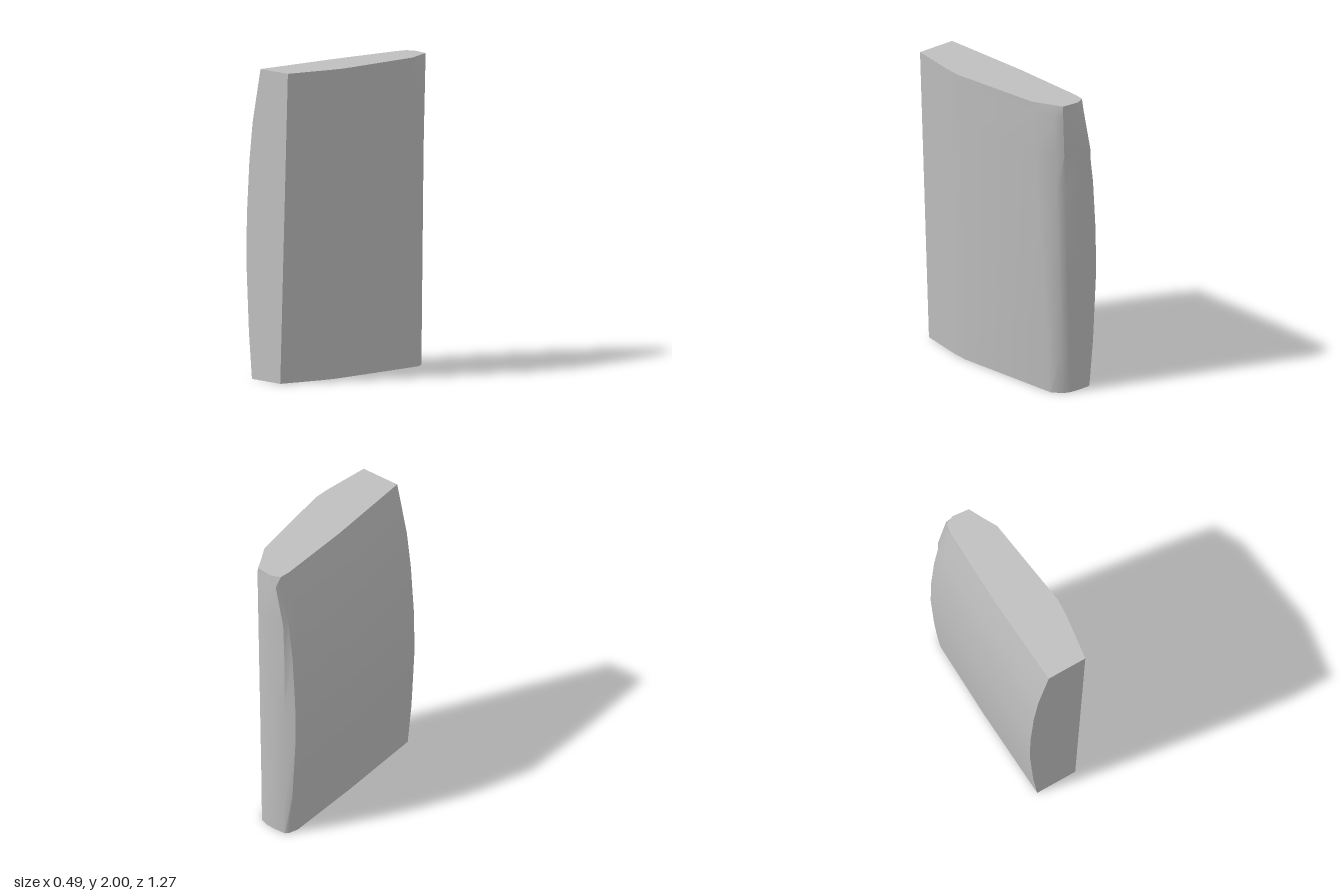
import * as THREE from 'three';
import { toCreasedNormals } from 'three/addons/utils/BufferGeometryUtils.js';

const lerp = THREE.MathUtils.lerp;

// bowed left side: [height, side x, front edge x]
const bow = [
  [0, -0.19, -0.165], [0.3, -0.22, -0.195], [0.75, -0.245, -0.22], [1.05, -0.242, -0.215],
  [1.4, -0.22, -0.19], [1.65, -0.188, -0.158], [1.93, -0.13, -0.096], [2, -0.115, -0.08],
];

// horizontal outline at one height, counterclockwise seen from above
function outline([y, side, front]) {
  const t = y / 2;
  const top = y === 2;
  const points = [
    [front, 0.635],
    [lerp(0.115, 0.19, t), 0.635],
    [lerp(0.165, 0.235, t), 0.32],
    [lerp(0.17, 0.243, t), 0.21],
    [lerp(0.1, 0.165, t), lerp(-0.53, -0.42, t)],
    top ? [0.112, -0.52] : [lerp(0.05, 0.107, t), lerp(-0.59, -0.568, t)],
    [lerp(0, 0.068, t), -0.61],
    top ? [-0.045, -0.622] : [lerp(-0.07, -0.048, t), lerp(-0.615, -0.637, t)],
    [Math.max(-0.155, side + 0.04), top ? -0.61 : lerp(-0.612, -0.63, t)],
    [side + (top ? 0.01 : 0.022), -0.595],
    [side, -0.53],
    [side + 0.004, 0],
  ];
  return points.map(([x, z]) => new THREE.Vector3(x, y, z));
}

export function createModel() {
  const group = new THREE.Group();
  const grey = new THREE.MeshStandardMaterial({ color: 0xbfbfbf });
  grey.name = 'grey';

  const rings = bow.map(outline);
  const n = rings[0].length;
  const corners = [];

  // walls between neighbouring outlines
  for (let r = 0; r < rings.length - 1; r++) {
    for (let i = 0; i < n; i++) {
      const j = (i + 1) % n;
      const [a, b, c, d] = [rings[r][i], rings[r][j], rings[r + 1][j], rings[r + 1][i]];
      corners.push(a, b, c, a, c, d);
    }
  }

  // flat ends
  const middle = (ring) => ring.reduce((sum, p) => sum.add(p), new THREE.Vector3()).divideScalar(n);
  const bottom = rings[0];
  const top = rings[rings.length - 1];
  for (let i = 0; i < n; i++) {
    const j = (i + 1) % n;
    corners.push(middle(top), top[i], top[j], middle(bottom), bottom[j], bottom[i]);
  }

  const geometry = new THREE.BufferGeometry().setFromPoints(corners);
  const slab = new THREE.Mesh(toCreasedNormals(geometry, Math.PI / 6), grey);
  slab.name = 'slab';
  group.add(slab);
  group.name = 'curvedSlab';
  return group;
}
